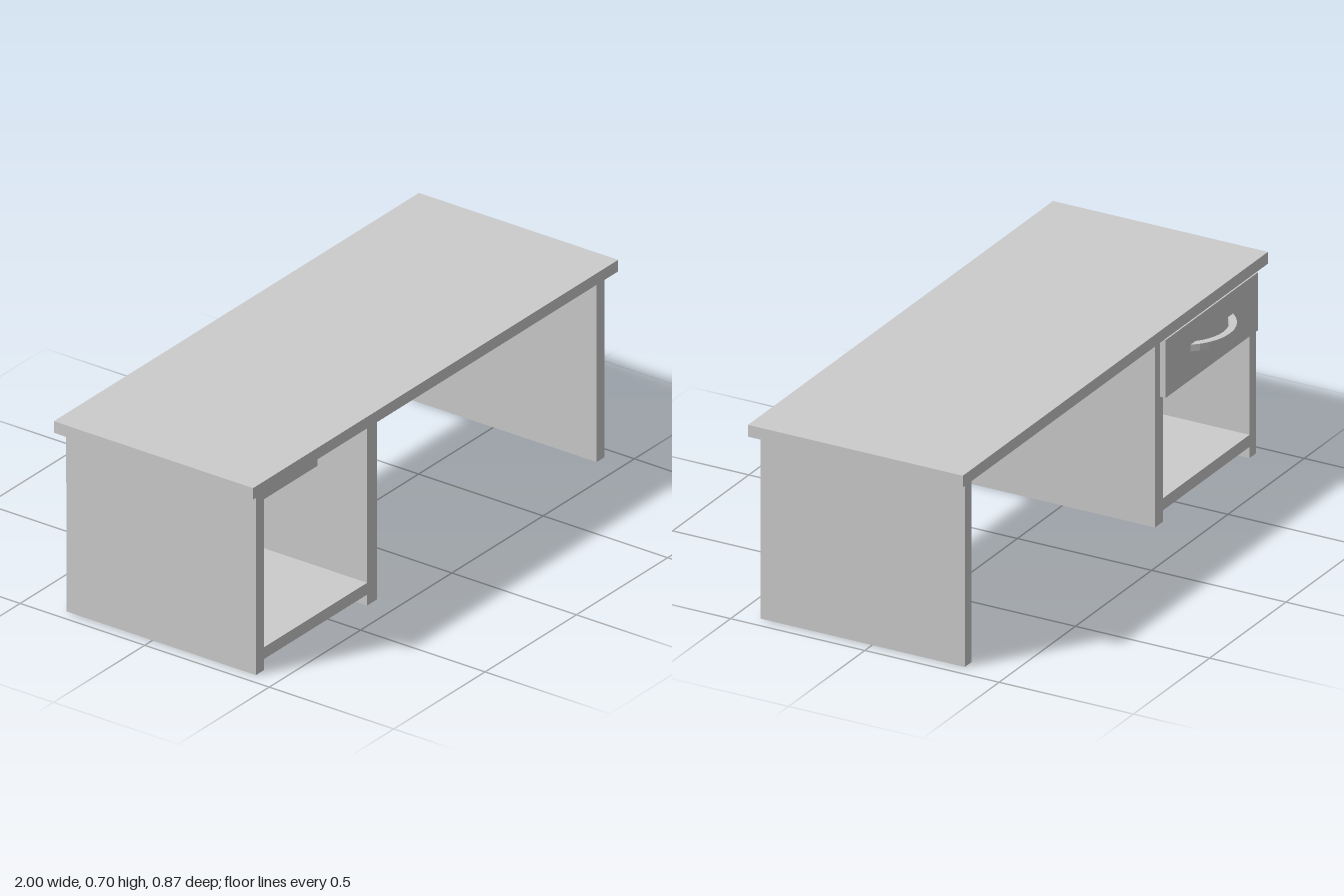
import * as THREE from 'three';

export function createModel() {
  const desk = new THREE.Group();
  desk.name = 'desk';
  const material = new THREE.MeshStandardMaterial({ color: 0xcccccc, flatShading: true });

  const addMesh = (parent, name, geometry) => {
    const mesh = new THREE.Mesh(geometry, material);
    mesh.name = name;
    parent.add(mesh);
    return mesh;
  };
  // Box given by its extents along each axis
  const addBox = (parent, name, [x0, x1], [y0, y1], [z0, z1]) =>
    addMesh(parent, name, new THREE.BoxGeometry(x1 - x0, y1 - y0, z1 - z0))
      .position.set((x0 + x1) / 2, (y0 + y1) / 2, (z0 + z1) / 2);

  const depth = [-0.345, 0.415];
  const height = [0, 0.663];

  // Top and upright panels
  addBox(desk, 'desktop', [-1, 1], [0.663, 0.705], [-0.365, 0.435]);
  addBox(desk, 'cabinetOuterPanel', [-0.957, -0.914], height, depth);
  addBox(desk, 'cabinetInnerPanel', [-0.348, -0.295], height, depth);
  addBox(desk, 'endPanel', [0.909, 0.952], height, depth);
  addBox(desk, 'bottomShelf', [-0.914, -0.348], [0.04, 0.083], depth);

  // Drawer: open tray behind an overlapping front
  const drawer = new THREE.Group();
  drawer.name = 'drawer';
  desk.add(drawer);
  const wall = 0.02, left = -0.912, right = -0.353, back = 0.22;
  addBox(drawer, 'drawerFront', [-0.933, -0.329], [0.452, 0.658], [-0.365, -0.345]);
  addBox(drawer, 'drawerBottom', [left, right], [0.452, 0.472], [-0.345, back]);
  addBox(drawer, 'drawerBack', [left, right], [0.472, 0.625], [back - wall, back]);
  for (const x of [left, right - wall])
    addBox(drawer, 'drawerSide', [x, x + wall], [0.472, 0.625], [-0.345, back - wall]);

  // Bowed handle: band between two concentric arcs, cut flat at the drawer front
  const outer = 0.178, inner = 0.153, cut = 0.11;
  const a = Math.asin(cut / outer), b = Math.asin(cut / inner);
  const arch = new THREE.Shape();
  arch.absarc(0, 0, outer, a, Math.PI - a, false);
  arch.absarc(0, 0, inner, Math.PI - b, b, true);
  arch.closePath();
  const handleGeometry = new THREE.ExtrudeGeometry(arch, { depth: 0.024, bevelEnabled: false, curveSegments: 5 });
  handleGeometry.rotateX(-Math.PI / 2);
  addMesh(drawer, 'handle', handleGeometry).position.set(-0.631, 0.553, cut - 0.365);

  return desk;
}
